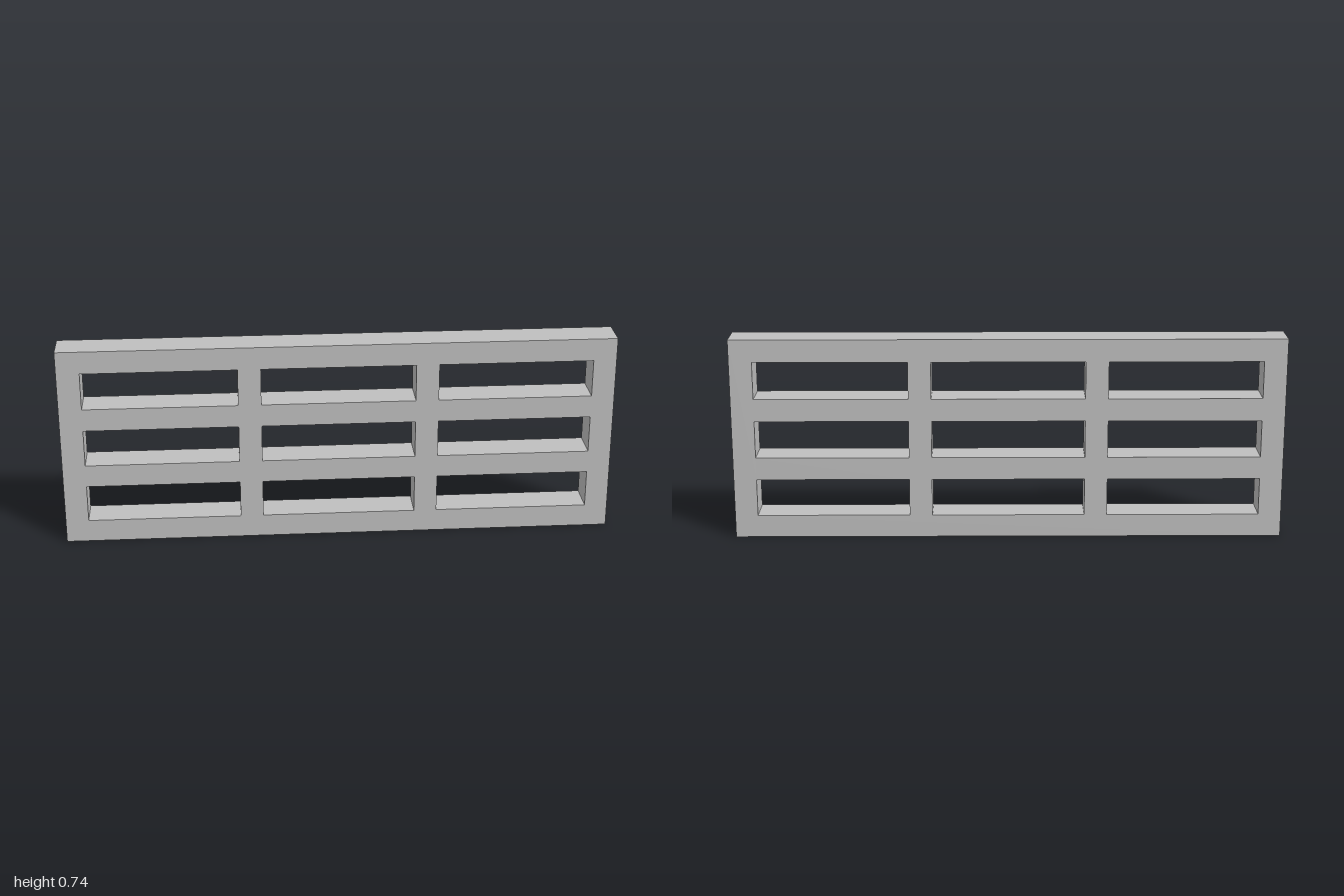
import * as THREE from 'three';

const WIDTH = 2, HEIGHT = 0.743, DEPTH = 0.122;
const BAR = 0.083, COLUMNS = 3, ROWS = 3;

// Adds a rectangle outline to a shape or path
function rectangle(path, x, y, w, h) {
  path.moveTo(x, y);
  path.lineTo(x + w, y);
  path.lineTo(x + w, y + h);
  path.lineTo(x, y + h);
  path.closePath();
  return path;
}

export function createModel() {
  const group = new THREE.Group();
  group.name = 'latticePanel';
  const grey = new THREE.MeshStandardMaterial({ color: 0xbfbfbf });
  grey.name = 'lightGrey';

  // Outer slab with an even grid of rectangular openings
  const outline = rectangle(new THREE.Shape(), -WIDTH / 2, 0, WIDTH, HEIGHT);
  const openW = (WIDTH - (COLUMNS + 1) * BAR) / COLUMNS;
  const openH = (HEIGHT - (ROWS + 1) * BAR) / ROWS;
  for (let c = 0; c < COLUMNS; c++) {
    for (let r = 0; r < ROWS; r++) {
      const x = -WIDTH / 2 + BAR + c * (openW + BAR);
      const y = BAR + r * (openH + BAR);
      outline.holes.push(rectangle(new THREE.Path(), x, y, openW, openH));
    }
  }

  const geometry = new THREE.ExtrudeGeometry(outline, { depth: DEPTH, bevelEnabled: false });
  geometry.translate(0, 0, -DEPTH / 2);
  const frame = new THREE.Mesh(geometry, grey);
  frame.name = 'latticeFrame';
  group.add(frame);
  return group;
}
